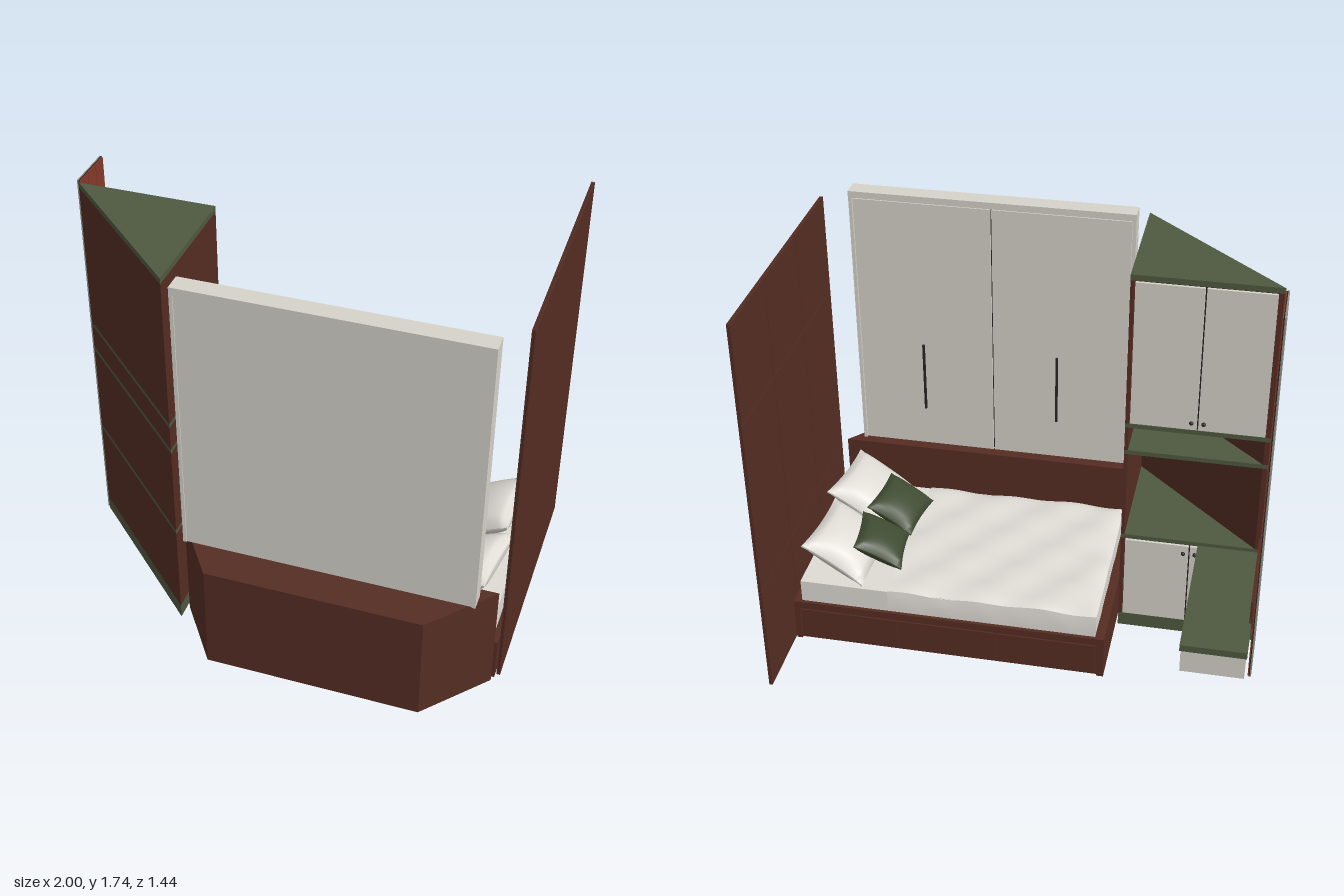
import * as THREE from 'three';

const mat = (name, color) => Object.assign(new THREE.MeshStandardMaterial({ color }), { name });
const M = {
  brown: mat('brown wood', 0x552d23),
  white: mat('cabinet white', 0xd6d2ca),
  linen: mat('bed linen', 0xdedbd5),
  green: mat('green board', 0x4f5840),
  cushion: mat('cushion green', 0x3f4b32),
  gray: mat('panel gray', 0x8f9087),
  red: mat('red tile', 0x85382a),
  dark: mat('dark metal', 0x2a2422),
};

function add(parent, name, geometry, material) {
  const m = new THREE.Mesh(geometry, material);
  m.name = name;
  parent.add(m);
  return m;
}

// box given by its limits on each axis
function box(parent, name, material, x0, x1, y0, y1, z0, z1) {
  const m = add(parent, name, new THREE.BoxGeometry(x1 - x0, y1 - y0, z1 - z0), material);
  m.position.set((x0 + x1) / 2, (y0 + y1) / 2, (z0 + z1) / 2);
  return m;
}

// upright prism over a floor plan of [x, z] points
function prism(parent, name, material, plan, y0, y1) {
  const shape = new THREE.Shape(plan.map(([x, z]) => new THREE.Vector2(x, -z)));
  const g = new THREE.ExtrudeGeometry(shape, { depth: y1 - y0, bevelEnabled: false });
  g.rotateX(-Math.PI / 2).translate(0, y0, 0);
  return add(parent, name, g, material);
}

function group(parent, name) {
  const g = new THREE.Group();
  g.name = name;
  parent.add(g);
  return g;
}

// puffy cushion with pinched edges and slightly drawn-in sides
function cushion(parent, name, material, w, h, d, pos, turn, tilt) {
  const g = new THREE.BoxGeometry(2, 2, 2, 16, 2, 16);
  const p = g.attributes.position;
  for (let i = 0; i < p.count; i++) {
    const u = p.getX(i), s = p.getY(i), v = p.getZ(i);
    const puff = Math.pow(Math.max(0, (1 - u * u) * (1 - v * v)), 0.4);
    p.setXYZ(i,
      u * (1 - 0.07 * (1 - v * v)) * w / 2,
      s * (0.06 + 0.94 * puff) * h / 2,
      v * (1 - 0.07 * (1 - u * u)) * d / 2);
  }
  g.computeVertexNormals();
  const m = add(parent, name, g, material);
  m.rotation.set(0, turn, tilt, 'YXZ');
  m.position.set(...pos);
}

function buildBed(root) {
  const bed = group(root, 'bed');
  box(bed, 'bedBase', M.brown, -0.37, 0.97, 0, 0.17, -0.39, 0.42);
  // raised rim
  box(bed, 'footRail', M.brown, -0.38, -0.35, 0, 0.2, -0.4, 0.43);
  box(bed, 'headRail', M.brown, 0.955, 0.98, 0, 0.2, -0.4, 0.43);
  box(bed, 'innerRail', M.brown, -0.35, 0.955, 0.165, 0.2, -0.4, -0.385);
  box(bed, 'outerRail', M.brown, -0.35, 0.955, 0, 0.2, 0.415, 0.43);
  // drawer fronts
  for (let i = 0; i < 3; i++) {
    const x = -0.345 + i * 0.433;
    box(bed, 'drawerFront', M.brown, x, x + 0.428, 0.012, 0.16, -0.4, -0.385);
  }
  box(bed, 'mattress', M.linen, -0.335, 0.95, 0.17, 0.295, -0.375, 0.41);

  // duvet with soft ripples and a wavy hem
  const g = new THREE.BoxGeometry(0.905, 0.11, 0.805, 60, 4, 50);
  const p = g.attributes.position;
  for (let i = 0; i < p.count; i++) {
    const x = p.getX(i), y = p.getY(i), z = p.getZ(i);
    const t = (y + 0.055) / 0.11;
    const edge = Math.max(Math.abs(z) / 0.4025, -x / 0.4525);
    const ripple = 0.004 * Math.sin(22 * x + 16 * z) + 0.003 * Math.sin(31 * z - 9 * x);
    const hem = 0.013 * Math.sin(36 * x) + 0.008 * Math.sin(30 * z);
    const drop = -0.018 * Math.pow(Math.min(1, edge), 14);
    p.setXYZ(i, x, y + t * (ripple + drop) + (1 - t) * hem, z * (1 - 0.02 * t * t));
  }
  g.computeVertexNormals();
  add(bed, 'duvet', g, M.linen).position.set(0.11, 0.262, 0.018);

  // pillows and cushions leaning toward the head
  cushion(bed, 'pillow', M.linen, 0.31, 0.13, 0.37, [0.79, 0.385, -0.175], -0.1, 0.52);
  cushion(bed, 'pillow', M.linen, 0.31, 0.13, 0.36, [0.79, 0.395, 0.21], -0.14, 0.52);
  cushion(bed, 'cushion', M.cushion, 0.23, 0.1, 0.26, [0.645, 0.39, -0.145], 0.12, 0.5);
  cushion(bed, 'cushion', M.cushion, 0.23, 0.1, 0.28, [0.635, 0.39, 0.135], -0.12, 0.5);
}

function buildWindowCabinets(root) {
  const low = group(root, 'lowCabinet');
  prism(low, 'cabinetBody', M.brown, [[-0.38, 0.45], [0.97, 0.45], [0.73, 0.72], [-0.19, 0.72]], 0, 0.495);

  const tall = group(root, 'wardrobe');
  box(tall, 'wardrobeBody', M.white, -0.335, 0.895, 0.495, 1.71, 0.505, 0.56);
  box(tall, 'wardrobeTop', M.white, -0.34, 0.9, 1.71, 1.74, 0.485, 0.565);
  for (const [a, b] of [[-0.34, -0.325], [0.885, 0.9]])
    box(tall, 'wardrobeSide', M.white, a, b, 0.495, 1.71, 0.487, 0.565);
  box(tall, 'doorGap', M.dark, -0.32, 0.88, 0.505, 1.705, 0.502, 0.506);
  for (const [a, b] of [[-0.322, 0.277], [0.283, 0.882]]) {
    box(tall, 'wardrobeDoor', M.white, a, b, 0.5, 1.705, 0.49, 0.504);
    const c = a < 0 ? -0.01 : 0.595;
    box(tall, 'doorHandle', M.dark, c - 0.005, c + 0.005, 0.69, 1.02, 0.48, 0.492);
  }
}

function buildCornerCabinet(root) {
  const corner = group(root, 'cornerCabinet');
  const plan = [[-0.985, -0.045], [-0.39, -0.045], [-0.39, 0.52]];
  const walls = [[-0.985, -0.045], [-0.96, -0.045], [-0.405, 0.482], [-0.405, -0.045], [-0.39, -0.045], [-0.39, 0.52]];
  // green boards, with brown walls between them
  const boards = [[0.005, 0.07], [0.48, 0.5], [0.91, 0.93], [1.04, 1.06], [1.715, 1.74]];
  boards.forEach(([a, b], i) => {
    prism(corner, i ? 'shelf' : 'plinth', M.green, plan, a, b);
    if (i < 4) prism(corner, 'cabinetWalls', M.brown, walls, b, boards[i + 1][0]);
  });
  // pairs of doors above and below
  for (const [y0, y1, knobY] of [[0.075, 0.475, 0.44], [1.065, 1.71, 1.1]]) {
    box(corner, 'doorGap', M.dark, -0.7, -0.67, y0, y1, -0.04, -0.035);
    for (const s of [-1, 1]) {
      const a = -0.685 + s * 0.003, b = -0.685 + s * 0.275;
      box(corner, 'cabinetDoor', M.white, Math.min(a, b), Math.max(a, b), y0, y1, -0.05, -0.038);
      const knob = add(corner, 'doorKnob', new THREE.SphereGeometry(0.009, 12, 8), M.dark);
      knob.position.set(-0.685 + s * 0.025, knobY, -0.057);
    }
  }
}

function buildDesk(root) {
  const desk = group(root, 'desk');
  box(desk, 'deskTop', M.green, -0.985, -0.72, 0.465, 0.495, -0.715, -0.06);
  box(desk, 'drawerBox', M.white, -0.98, -0.74, 0.36, 0.465, -0.71, -0.065);
  for (const z of [-0.71, -0.385])
    box(desk, 'deskDrawer', M.white, -0.74, -0.725, 0.36, 0.46, z, z + 0.32);
  box(desk, 'backboard', M.brown, -0.985, -0.976, 0.495, 0.6, -0.53, -0.1);

  // tall narrow panel with a tiled inner side
  const panel = group(root, 'tiledPanel');
  box(panel, 'panelBack', M.gray, -1, -0.994, 0, 1.74, -0.28, -0.06);
  box(panel, 'tileBed', M.dark, -0.994, -0.99, 0, 1.74, -0.28, -0.06);
  const cols = 3, rows = 14, w = 0.22 / cols, h = 1.74 / rows;
  for (let c = 0; c < cols; c++)
    for (let r = 0; r < rows; r++) {
      const z = -0.28 + c * w, y = r * h;
      box(panel, 'tile', M.red, -0.99, -0.985, y + 0.002, y + h - 0.002, z + 0.002, z + w - 0.002);
    }
}

// panelled wall behind the bed head
function buildWallPanel(root) {
  const wall = group(root, 'wallPanel');
  box(wall, 'panelCore', M.dark, 0.99, 0.995, 0.002, 1.738, -0.718, 0.408);
  const zs = [-0.72, -0.345, 0.035, 0.41], ys = [0, 0.5, 1.3, 1.74], e = 0.002;
  for (let i = 0; i < 3; i++) {
    const z0 = zs[i] + (i ? e : 0), z1 = zs[i + 1] - (i < 2 ? e : 0);
    box(wall, 'outerPanel', M.brown, 0.994, 1, 0, 1.74, z0, z1);
    for (let j = 0; j < 3; j++)
      box(wall, 'innerPanel', M.brown, 0.985, 0.992, ys[j] + (j ? e : 0), ys[j + 1] - (j < 2 ? e : 0), z0, z1);
  }
}

export function createModel() {
  const root = new THREE.Group();
  root.name = 'bedroomSet';
  buildBed(root);
  buildWindowCabinets(root);
  buildCornerCabinet(root);
  buildDesk(root);
  buildWallPanel(root);
  return root;
}
